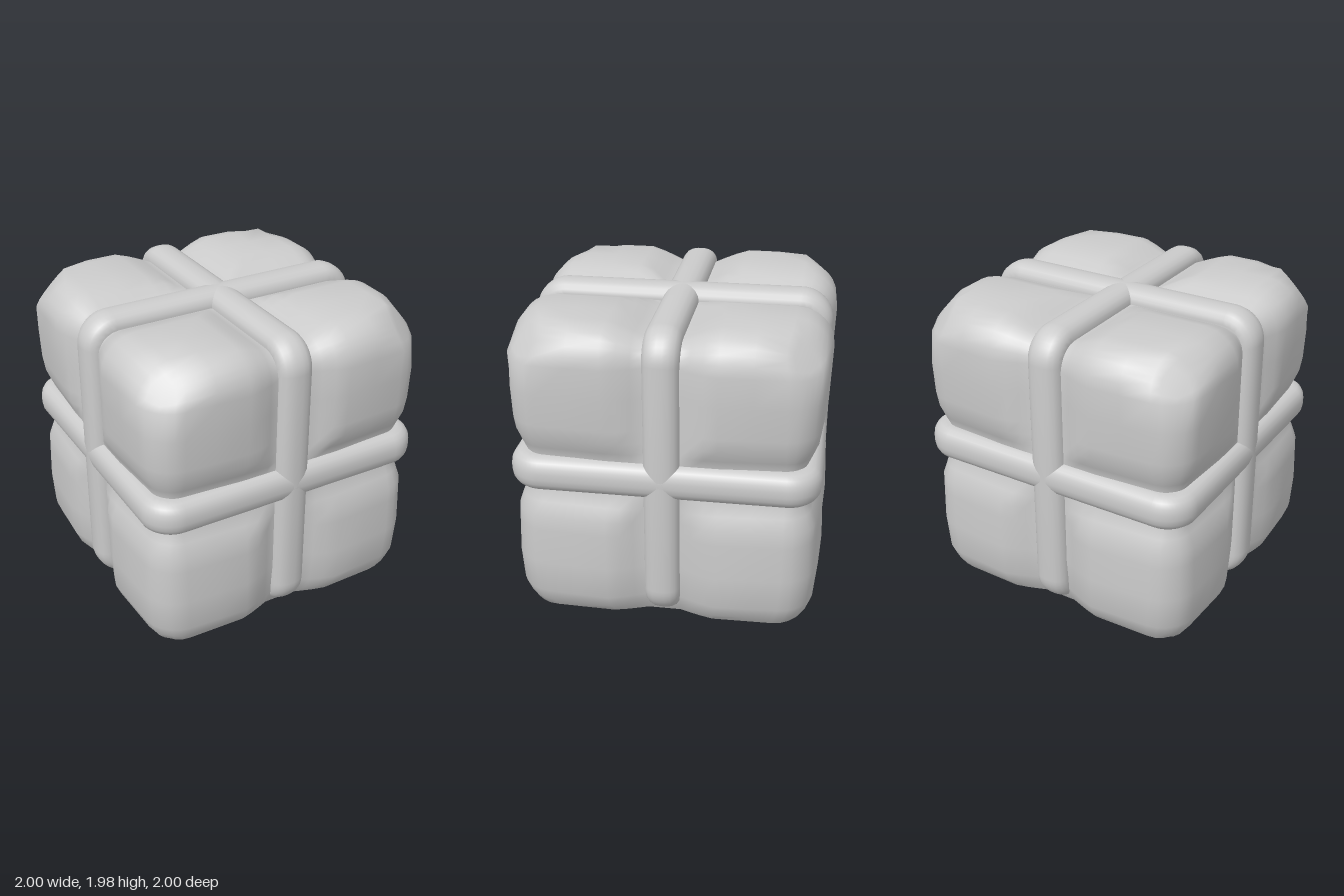
import * as THREE from 'three';
import { mergeVertices, toCreasedNormals } from 'three/addons/utils/BufferGeometryUtils.js';

const material = new THREE.MeshStandardMaterial({ color: 0xcccccc });

// Grid lines of one half of a side, denser at the grooves and the rounded edges
const KNOTS = [0, 0.115, 0.18, 0.26, 0.35, 0.56, 0.76, 0.84, 0.92, 1];
const RADIUS = 0.24;

// Depth of the groove pressed in by a rope, at distance t from the rope's plane
function groove(t) {
  const s = Math.min(1, Math.max(0, (Math.abs(t) - 0.115) / 0.235));
  return 0.09 * Math.pow(1 - s, 1.2);
}

// Rounded cube, bulging between the grooves and flat underneath
function createBale() {
  const n = KNOTS.length - 1;
  let geo = new THREE.BoxGeometry(2, 2, 2, 2 * n, 2 * n, 2 * n);
  const pos = geo.attributes.position;
  const knot = (v) => Math.sign(v) * KNOTS[Math.round(Math.abs(v) * n)];
  const v = new THREE.Vector3(), inner = new THREE.Vector3(), dir = new THREE.Vector3();
  for (let i = 0; i < pos.count; i++) {
    v.set(knot(pos.getX(i)), knot(pos.getY(i)), knot(pos.getZ(i)));
    const halfY = v.y < 0 ? 1.12 : 0.98;
    v.y *= halfY;
    const a = 1 - RADIUS, b = halfY - RADIUS;
    inner.set(
      THREE.MathUtils.clamp(v.x, -a, a),
      THREE.MathUtils.clamp(v.y, -b, b),
      THREE.MathUtils.clamp(v.z, -a, a)
    );
    dir.subVectors(v, inner).normalize();
    v.copy(inner).addScaledVector(dir, RADIUS);
    // grooves, a slight waist and slimmer upright edges
    const corner = Math.max(0, Math.min(Math.abs(v.x), Math.abs(v.z)) - 0.35);
    const waist = 0.03 * Math.max(0, 1 - Math.abs(v.y) / 0.8);
    const dip = Math.max(groove(v.x), groove(v.y), groove(v.z), waist) + 0.06 * corner * (1 - Math.abs(dir.y));
    dir.y = Math.max(dir.y, 0);
    v.addScaledVector(dir, -dip);
    if (v.y > 0) {
      // worn upper corners
      v.clampLength(0, 1.45);
    } else {
      // flat underside, with the sides drawn in towards it
      v.y = Math.max(v.y, -1);
      const taper = 1 - 0.07 * Math.max(0, (-0.8 - v.y) / 0.2);
      v.x *= taper;
      v.z *= taper;
    }
    pos.setXYZ(i, v.x, v.y, v.z);
  }
  geo.deleteAttribute('uv');
  geo.deleteAttribute('normal');
  geo = mergeVertices(geo, 1e-4);
  return toCreasedNormals(geo, 0.9);
}

// Rope loop: a rounded square with a rounded rim
function createRope() {
  const h = 0.9, r = 0.13;
  const shape = new THREE.Shape();
  shape.moveTo(h - r, -h);
  shape.absarc(h - r, -h + r, r, -Math.PI / 2, 0);
  shape.absarc(h - r, h - r, r, 0, Math.PI / 2);
  shape.absarc(-h + r, h - r, r, Math.PI / 2, Math.PI);
  shape.absarc(-h + r, -h + r, r, Math.PI, Math.PI * 1.5);
  const geo = new THREE.ExtrudeGeometry(shape, {
    depth: 0.04, curveSegments: 5, bevelThickness: 0.095, bevelSize: 0.08, bevelSegments: 4
  });
  geo.translate(0, 0, -0.02);
  return toCreasedNormals(geo, 0.75);
}

export function createModel() {
  const group = new THREE.Group();
  group.name = 'tiedBale';

  const bale = new THREE.Mesh(createBale(), material);
  bale.name = 'bale';
  bale.position.y = 1;
  group.add(bale);

  // One rope around each middle plane
  const ropeGeo = createRope();
  const turns = {
    ropeSideToSide: [0, 0, 0],
    ropeFrontToBack: [0, Math.PI / 2, 0],
    ropeAroundMiddle: [Math.PI / 2, 0, 0]
  };
  for (const [name, turn] of Object.entries(turns)) {
    const rope = new THREE.Mesh(ropeGeo, material);
    rope.name = name;
    rope.position.y = 1;
    rope.rotation.set(...turn);
    group.add(rope);
  }
  return group;
}
